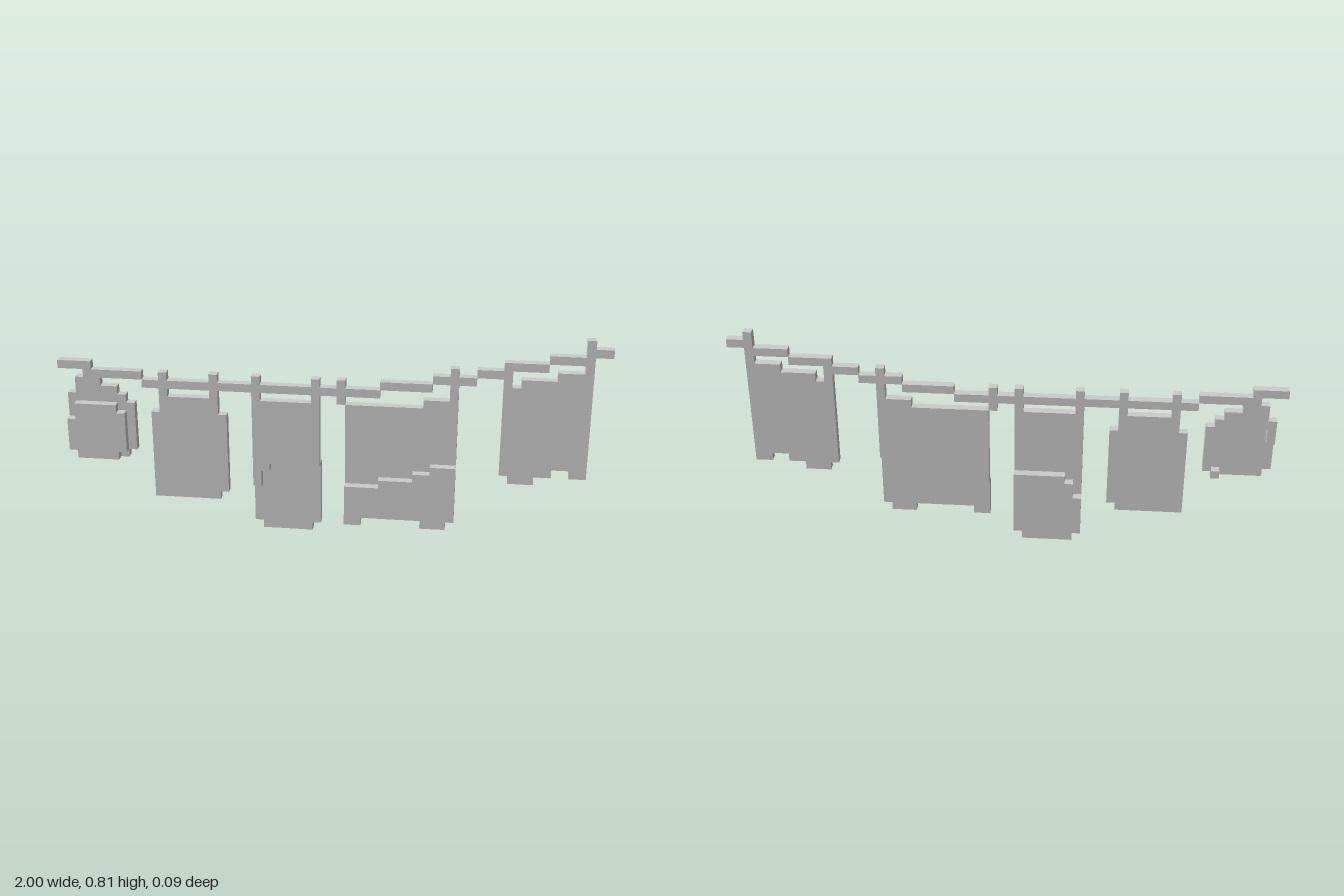
import * as THREE from 'three';

const U = 1 / 32; // one grid cell
const material = new THREE.MeshStandardMaterial({ color: 0xcccccc, flatShading: true });

// Flat panel from side-by-side column runs [x0, x1, bottom, top] in cells.
// layer: 1 = blown forward, 0 = in line with the rope, -1 = blown backward
function panel(name, layer, runs) {
  const outline = [];
  for (const [x0, x1, bottom] of runs) outline.push([x0, bottom], [x1, bottom]);
  for (const [x0, x1, , top] of [...runs].reverse()) outline.push([x1, top], [x0, top]);
  const points = outline
    .map(([x, y]) => new THREE.Vector2((x - 32) * U, y * U))
    .filter((p, i, all) => i === 0 || !p.equals(all[i - 1]));
  const geometry = new THREE.ExtrudeGeometry(new THREE.Shape(points), { depth: U, bevelEnabled: false });
  geometry.translate(0, 0, (layer - 0.5) * U);
  const mesh = new THREE.Mesh(geometry, material);
  mesh.name = name;
  return mesh;
}

function group(name, ...meshes) {
  const g = new THREE.Group();
  g.name = name;
  g.add(...meshes);
  return g;
}

export function createModel() {
  const model = new THREE.Group();
  model.name = 'clothesline';

  // Sagging rope: stepped segments [x0, x1, row]
  const rope = [
    [0, 4, 20], [3, 10, 19], [10, 38, 18], [38, 44, 19], [44, 49, 20],
    [49, 52, 21], [52, 57, 22], [57, 61, 23], [61, 64, 24],
  ].map(([x0, x1, y]) => panel('ropeSegment', 0, [[x0, x1, y, y + 1]]));
  model.add(group('rope', ...rope));

  // Pegs: stubs above and below the rope [column, row]
  const pegs = [
    [12, 19], [18, 19], [23, 19], [30, 19], [33, 19], [46, 21], [61, 25],
    [12, 17], [18, 17], [23, 17], [30, 17], [33, 17],
  ].map(([x, y]) => panel('peg', 0, [[x, x + 1, y, y + 1]]));
  model.add(group('pegs', ...pegs));

  // Small garment with its body blown forward
  model.add(group('smallGarment',
    panel('shoulder', 0, [[1, 2, 14, 17], [2, 5, 16, 19], [5, 7, 16, 18], [7, 8, 15, 17], [8, 9, 10, 16]]),
    panel('hemCorner', 0, [[7, 8, 9, 10]]),
    panel('body', 1, [[1, 2, 10, 14], [2, 7, 9, 16], [7, 8, 10, 15]])));

  // Towel hanging straight
  model.add(panel('towel', 0, [[11, 12, 4, 15], [12, 19, 4, 17], [19, 20, 5, 15]]));

  // Long cloth with its lower half blown backward
  model.add(group('longCloth',
    panel('upperHalf', 0, [[23, 24, 6, 17], [24, 25, 8, 17], [25, 31, 9, 17]]),
    panel('lowerHalf', -1, [[23, 24, 1, 6], [24, 25, 0, 8], [25, 30, 0, 9], [30, 31, 1, 9]])));

  // Wide sheet with its lower part blown forward
  model.add(group('wideSheet',
    panel('upperPart', 0, [[34, 38, 7, 17], [38, 42, 8, 17], [42, 43, 9, 17], [43, 44, 9, 18],
      [44, 46, 10, 18], [46, 47, 10, 20]]),
    panel('lowerPart', 1, [[34, 36, 2, 7], [36, 38, 3, 7], [38, 42, 3, 8], [42, 43, 3, 9],
      [43, 44, 2, 9], [44, 46, 2, 10], [46, 47, 3, 10]])));

  // Cloth at the high end, with a ragged hem
  model.add(panel('endCloth', 0, [[52, 53, 9, 22], [53, 54, 8, 20], [54, 56, 8, 21], [56, 58, 9, 21],
    [58, 60, 10, 22], [60, 61, 9, 22], [61, 62, 9, 24]]));

  return model;
}
